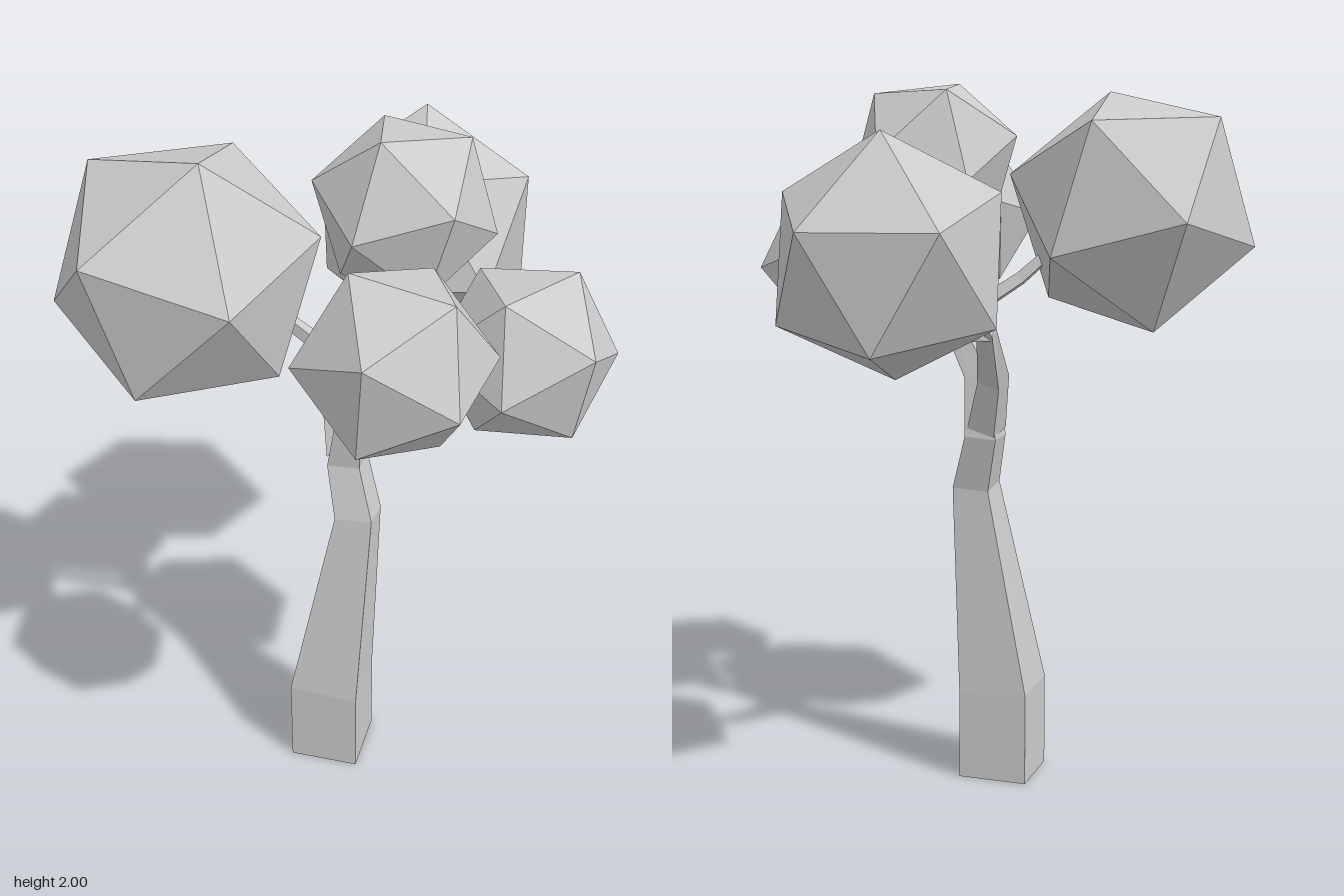
import * as THREE from 'three';

const V = (a) => new THREE.Vector3(...a);
const material = new THREE.MeshStandardMaterial({ color: 0xcccccc, flatShading: true });

// Four-sided tapering limb; each station is [x, y, z, halfWidth].
function limb(name, stations, twist = 0) {
  const pts = stations.map((s) => V(s.slice(0, 3)));
  const last = pts.length - 1;
  const pos = [];
  const index = [];
  pts.forEach((p, k) => {
    const t = new THREE.Vector3();
    if (k > 0) t.add(pts[k].clone().sub(pts[k - 1]).normalize());
    if (k < last) t.add(pts[k + 1].clone().sub(pts[k]).normalize());
    t.normalize();
    const u = t.clone().cross(V([0, 0, 1])).normalize();
    const v = t.clone().cross(u);
    const r = stations[k][3] * Math.SQRT2;
    for (let i = 0; i < 4; i++) {
      const a = Math.PI / 4 + (i * Math.PI) / 2 + twist;
      const q = p.clone().addScaledVector(u, r * Math.cos(a)).addScaledVector(v, r * Math.sin(a));
      pos.push(q.x, q.y, q.z);
      if (k < last) {
        const a0 = k * 4 + i;
        const b0 = k * 4 + ((i + 1) % 4);
        index.push(a0, b0, b0 + 4, a0, b0 + 4, a0 + 4);
      }
    }
  });
  const e = last * 4;
  index.push(0, 2, 1, 0, 3, 2, e, e + 1, e + 2, e, e + 2, e + 3);
  const geo = new THREE.BufferGeometry();
  geo.setAttribute('position', new THREE.Float32BufferAttribute(pos, 3));
  geo.setIndex(index);
  const flat = geo.toNonIndexed();
  flat.computeVertexNormals();
  const mesh = new THREE.Mesh(flat, material);
  mesh.name = name;
  return mesh;
}

// Icosahedral leaf clump, oriented by the directions of two neighbouring corners.
function clump(name, center, radius, corner1, corner2) {
  const p = V(corner1).normalize();
  const q = V(corner2).normalize();
  const y = p.clone().add(q).normalize();
  const x = q.clone().sub(p).normalize();
  const basis = new THREE.Matrix4().makeBasis(x, y, x.clone().cross(y));
  const mesh = new THREE.Mesh(new THREE.IcosahedronGeometry(radius, 0), material);
  mesh.quaternion.setFromRotationMatrix(basis);
  mesh.position.set(...center);
  mesh.name = name;
  return mesh;
}

export function createModel() {
  const tree = new THREE.Group();
  tree.name = 'tree';

  // Trunk with a bend, running on into the main limb
  tree.add(limb('trunk', [
    [-0.038, 0, 0.11, 0.1], [-0.038, 0.26, 0.11, 0.1], [0.035, 0.86, 0.083, 0.053],
    [-0.006, 1.01, 0.047, 0.046], [0.015, 1.18, 0.065, 0.036], [0.11, 1.33, 0.095, 0.025],
  ], 0.035));

  // Limbs leading to the clumps
  const limbs = {
    backLimb: [[-0.01, 1.03, 0.045, 0.042], [-0.055, 1.18, -0.02, 0.033], [-0.1, 1.33, -0.2, 0.022], [-0.06, 1.42, -0.28, 0.016], [0.0, 1.5, -0.36, 0.012]],
    backTwig: [[-0.1, 1.32, -0.19, 0.018], [-0.04, 1.32, -0.27, 0.014], [0.03, 1.4, -0.36, 0.01]],
    rightTwig: [[0.1, 1.31, 0.09, 0.025], [0.03, 1.38, 0.12, 0.018], [-0.07, 1.45, 0.16, 0.016], [-0.2, 1.57, 0.2, 0.012]],
    topTwig: [[0.07, 1.33, 0.09, 0.02], [0.04, 1.42, 0.03, 0.017], [0.06, 1.56, 0.01, 0.015], [0.1, 1.72, 0.02, 0.012]],
    leftTwig: [[0.1, 1.31, 0.09, 0.026], [0.19, 1.39, 0.12, 0.018], [0.32, 1.41, 0.15, 0.015], [0.44, 1.47, 0.16, 0.012]],
    frontTwig: [[0.11, 1.32, 0.09, 0.024], [0.18, 1.39, 0.18, 0.017], [0.23, 1.46, 0.3, 0.014], [0.25, 1.58, 0.43, 0.011]],
  };
  for (const [name, stations] of Object.entries(limbs)) tree.add(limb(name, stations));

  // Leaf clumps
  tree.add(
    clump('rightClump', [-0.372, 1.643, 0.245], 0.36, [0.094, 0.336, 0.092], [-0.141, 0.124, 0.307]),
    clump('backClump', [0.078, 1.523, -0.43], 0.333, [-0.023, 0.318, -0.097], [0.106, 0.075, -0.307]),
    clump('topClump', [0.139, 1.783, 0.022], 0.243, [-0.033, 0.212, 0.113], [0.152, 0.18, -0.06]),
    clump('leftClump', [0.492, 1.497, 0.157], 0.24, [0.105, 0.201, -0.075], [-0.034, 0.196, 0.137]),
    clump('frontClump', [0.25, 1.624, 0.505], 0.247, [-0.108, 0.22, 0.012], [-0.012, 0.096, 0.23]),
  );
  return tree;
}
